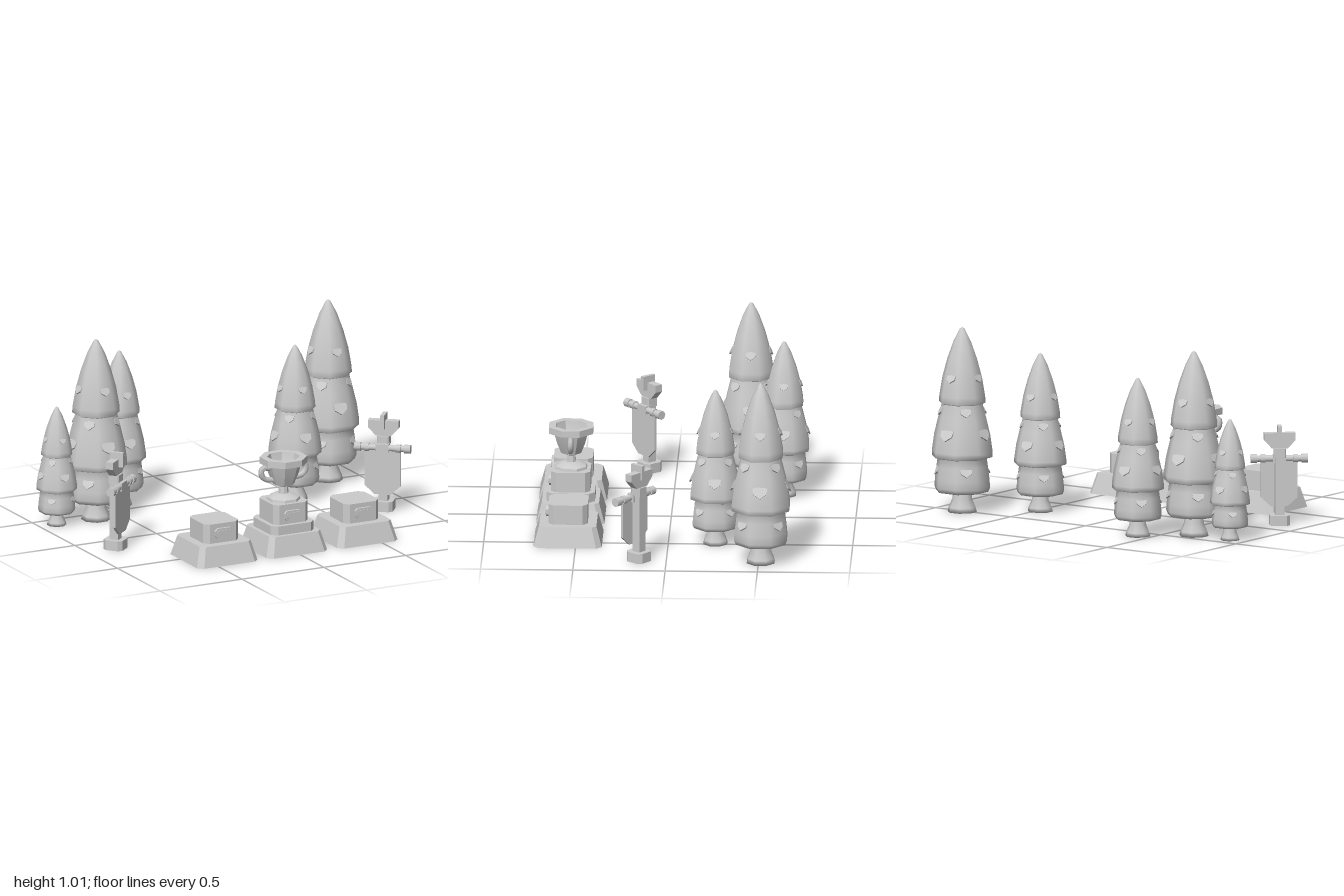
import * as THREE from 'three';
import { toCreasedNormals } from 'three/addons/utils/BufferGeometryUtils.js';

const grey = new THREE.MeshStandardMaterial({ color: 0xcccccc, side: THREE.DoubleSide });
const MID = -0.008;

function add(parent, name, geo, x = 0, y = 0, z = 0) {
  const m = new THREE.Mesh(geo, grey);
  m.name = name;
  m.position.set(x, y, z);
  parent.add(m);
  return m;
}

function poly(points) {
  return new THREE.Shape(points.map(([x, y]) => new THREE.Vector2(x, y)));
}

// Square block with cut corners, standing on y = 0, optionally tapered upwards
function block(w, h, cut, taper = 1) {
  const a = w / 2, b = a - cut;
  const geo = new THREE.ExtrudeGeometry(
    poly([[a, -b], [a, b], [b, a], [-b, a], [-a, b], [-a, -b], [-b, -a], [b, -a]]),
    { depth: h, bevelEnabled: false });
  geo.rotateX(-Math.PI / 2);
  const p = geo.attributes.position;
  for (let i = 0; i < p.count; i++) {
    const s = p.getY(i) > h / 2 ? taper : 1;
    p.setX(i, p.getX(i) * s);
    p.setZ(i, p.getZ(i) * s);
  }
  geo.computeVertexNormals();
  return geo;
}

// Eight-sided turned form with flats facing the axes
function turned(profile, scale = 1) {
  const k = scale / Math.cos(Math.PI / 8);
  return new THREE.LatheGeometry(
    profile.map(([r, y]) => new THREE.Vector2(r * k, y * scale)), 8, Math.PI / 8);
}

// Flat plate with cut corners
function plate(w, h, cut, depth) {
  const a = w / 2, b = h / 2;
  return new THREE.ExtrudeGeometry(poly([[a, -b + cut], [a, b - cut], [a - cut, b], [-a + cut, b],
    [-a, b - cut], [-a, -b + cut], [-a + cut, -b], [a - cut, -b]]), { depth, bevelEnabled: false });
}

function plaque(parent, y) {
  add(parent, 'plaqueFrame', plate(0.105, 0.056, 0.014, 0.02), 0, y, 0.1);
  add(parent, 'plaquePanel', plate(0.08, 0.034, 0.008, 0.023), 0, y, 0.1);
}

function podium(x) {
  const g = new THREE.Group();
  g.name = 'podium';
  g.position.set(MID + x, 0, 0.543);
  add(g, 'podiumBase', block(0.37, 0.11, 0.03, 0.84));
  return g;
}

function sidePodium(x) {
  const g = podium(x);
  add(g, 'podiumBlock', block(0.213, 0.108, 0.028), 0, 0.11);
  plaque(g, 0.165);
  return g;
}

function centrePodium() {
  const g = podium(0);
  add(g, 'podiumStep', block(0.264, 0.05, 0.032), 0, 0.11);
  add(g, 'podiumBlock', block(0.213, 0.11, 0.028), 0, 0.16);
  plaque(g, 0.208);
  // Foot, stem and hollow cup
  add(g, 'trophyCup', toCreasedNormals(turned([
    [0, 0.27], [0.086, 0.27], [0.083, 0.284], [0.05, 0.302], [0.026, 0.306], [0.022, 0.343],
    [0.029, 0.347], [0.029, 0.357], [0.054, 0.357], [0.076, 0.415], [0.09, 0.468], [0.12, 0.474],
    [0.12, 0.51], [0.083, 0.51], [0.074, 0.46], [0.05, 0.4], [0, 0.39]]), 0.5));
  for (const s of [-1, 1]) {
    const path = new THREE.CatmullRomCurve3([[0.085, 0.455], [0.128, 0.458], [0.136, 0.43],
      [0.118, 0.398], [0.062, 0.385]].map(([x, y]) => new THREE.Vector3(s * x, y, 0)));
    add(g, 'trophyHandle', new THREE.TubeGeometry(path, 10, 0.016, 6));
  }
  return g;
}

function bannerStand(side) {
  const g = new THREE.Group();
  g.name = 'bannerStand';
  g.position.set(MID + side * 0.82, 0, 0.148);
  g.rotation.y = -side * 0.69;
  add(g, 'standBase', block(0.11, 0.055, 0.02));
  add(g, 'pole', new THREE.BoxGeometry(0.05, 0.36, 0.05), 0, 0.22);
  add(g, 'poleCollar', block(0.065, 0.05, 0.006), 0, 0.37);
  // Finial: flared head crossed by a small crest
  add(g, 'finialHead', new THREE.ExtrudeGeometry(
    poly([[-0.042, 0.42], [0.042, 0.42], [0.085, 0.465], [0.085, 0.505], [-0.085, 0.505], [-0.085, 0.465]]),
    { depth: 0.044, bevelEnabled: false }), 0, 0, -0.022);
  add(g, 'finialCrest', new THREE.BoxGeometry(0.022, 0.08, 0.08), 0, 0.502, 0.008);
  // Cross bar with end knobs
  const bar = add(g, 'crossBar', new THREE.CylinderGeometry(0.018, 0.018, 0.27, 8), 0, 0.357, 0.035);
  bar.rotation.z = Math.PI / 2;
  add(g, 'barClamp', new THREE.BoxGeometry(0.07, 0.045, 0.045), 0, 0.357, 0.03);
  for (const s of [-1, 1]) {
    const knob = add(g, 'barKnob', new THREE.CylinderGeometry(0.025, 0.025, 0.035, 8), s * 0.138, 0.357, 0.035);
    knob.rotation.z = Math.PI / 2;
    const ring = add(g, 'barRing', new THREE.CylinderGeometry(0.024, 0.024, 0.026, 8), s * 0.088, 0.357, 0.035);
    ring.rotation.z = Math.PI / 2;
  }
  // Hanging cloth with cut lower corners
  add(g, 'bannerCloth', new THREE.ExtrudeGeometry(
    poly([[-0.1, 0.36], [-0.1, 0.145], [-0.045, 0.095], [0.045, 0.095], [0.1, 0.145], [0.1, 0.36]]),
    { depth: 0.014, bevelEnabled: false }), 0, 0, 0.028);
  return g;
}

const TRUNK = [[0, 0], [0.074, 0], [0.068, 0.025], [0.05, 0.07], [0.043, 0.15]];
const FOLIAGE = [[0, 0.13], [0.1, 0.105], [0.132, 0.112], [0.141, 0.135], [0.138, 0.18], [0.13, 0.25],
  [0.122, 0.31], [0.14, 0.296], [0.154, 0.302], [0.154, 0.33], [0.142, 0.42], [0.122, 0.51], [0.1, 0.6],
  [0.108, 0.588], [0.118, 0.594], [0.116, 0.63], [0.1, 0.73], [0.075, 0.83], [0.043, 0.925],
  [0.012, 0.99], [0, 1]];
// Rings of leaf tabs: height, radius, size, turn
const TABS = [[0.23, 0.13, 0.065, 1], [0.43, 0.139, 0.08, 0], [0.55, 0.112, 0.06, 1], [0.73, 0.099, 0.055, 0]];

function tree(x, z, h) {
  const g = new THREE.Group();
  g.name = 'tree';
  g.position.set(x, 0, z);
  add(g, 'trunk', turned(TRUNK, h));
  add(g, 'foliage', turned(FOLIAGE, h));
  for (const [y, r, size, turn] of TABS) {
    const s = size * h;
    const geo = new THREE.ExtrudeGeometry(
      poly([[-0.5, 0.25], [-0.45, -0.15], [0, -0.48], [0.45, -0.15], [0.5, 0.25], [0, 0.36]]
        .map(([a, b]) => [a * s, b * s])), { depth: 0.008 * h, bevelEnabled: false });
    geo.rotateX(-0.5);
    for (let i = 0; i < 4; i++) {
      const a = (i + turn / 2) * Math.PI / 2;
      const tab = add(g, 'leafTab', geo, Math.sin(a) * r * h, y * h, Math.cos(a) * r * h);
      tab.rotation.y = a;
    }
  }
  return g;
}

export function createModel() {
  const model = new THREE.Group();
  model.name = 'podiumScene';
  model.add(sidePodium(-0.425), centrePodium(), sidePodium(0.43));
  model.add(bannerStand(-1), bannerStand(1));
  for (const [x, z, h] of [[-0.897, -0.41, 0.665], [-0.657, -0.41, 1.015], [-0.417, -0.597, 0.87],
    [0.478, -0.255, 0.87], [0.814, -0.512, 1.015]]) model.add(tree(x, z, h));
  return model;
}
